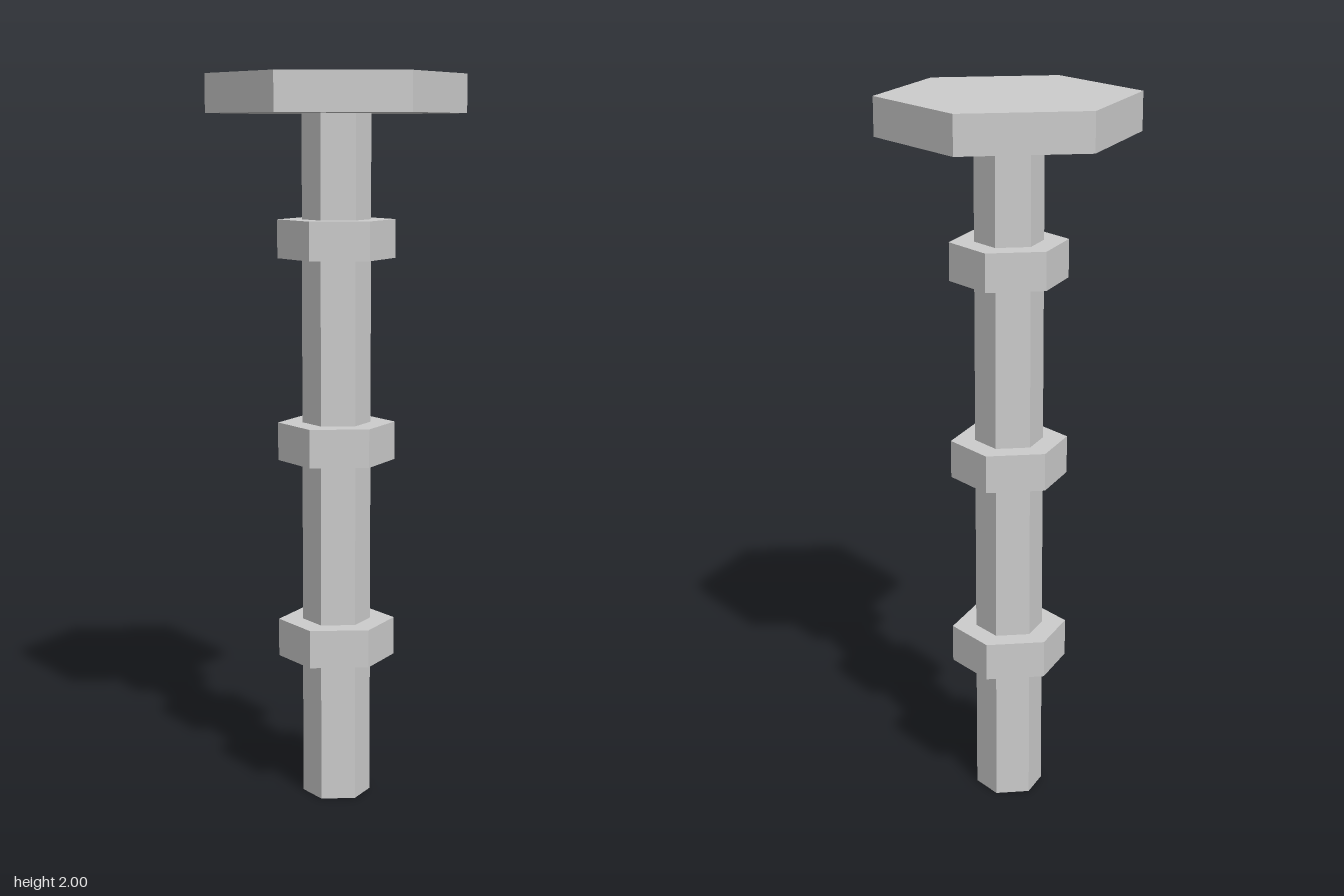
import * as THREE from 'three';

export function createModel() {
  const model = new THREE.Group();
  const grey = new THREE.MeshStandardMaterial({ color: 0xcccccc });
  grey.name = 'plain grey';

  // Hexagonal prism with corners on the x axis, standing from y = bottom to y = top
  function hexPrism(name, radius, bottom, top) {
    const geometry = new THREE.CylinderGeometry(radius, radius, top - bottom, 6, 1, false, Math.PI / 6).toNonIndexed();
    geometry.computeVertexNormals(); // flat facets
    const mesh = new THREE.Mesh(geometry, grey);
    mesh.name = name;
    mesh.position.y = (bottom + top) / 2;
    model.add(mesh);
  }

  const thickness = 0.105;

  // Central shaft and wide head
  hexPrism('shaft', 0.094, 0, 2 - thickness);
  hexPrism('head', 0.353, 2 - thickness, 2);

  // Three evenly spaced collars
  ['lowerCollar', 'middleCollar', 'upperCollar'].forEach((name, i) => {
    const centre = 0.447 + i * 0.556;
    hexPrism(name, 0.161, centre - thickness / 2, centre + thickness / 2);
  });

  return model;
}
